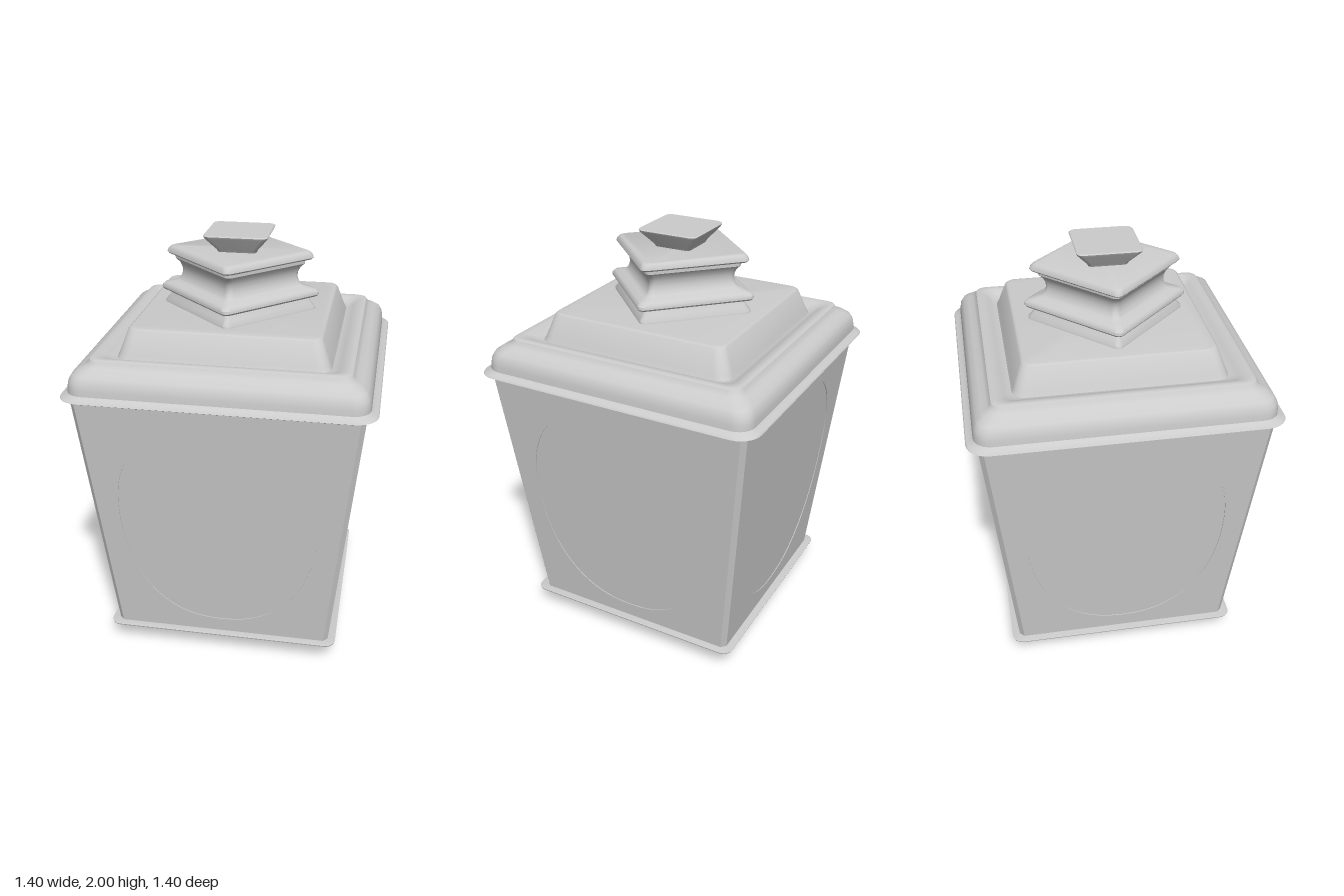
import * as THREE from 'three';
import { toCreasedNormals } from 'three/addons/utils/BufferGeometryUtils.js';

const material = new THREE.MeshStandardMaterial({ color: 0xcccccc, side: THREE.DoubleSide });

// Closed solid through a stack of cross-sections (bottom to top), each a loop of [x, y, z]
function loft(name, sections, crease = 0.6) {
  const pos = [];
  const n = sections[0].length;
  const tri = (a, b, c) => pos.push(...a, ...b, ...c);
  for (let s = 0; s < sections.length - 1; s++) {
    const lo = sections[s], hi = sections[s + 1];
    for (let i = 0; i < n; i++) {
      const j = (i + 1) % n;
      tri(lo[i], hi[i], lo[j]);
      tri(hi[i], hi[j], lo[j]);
    }
  }
  const first = sections[0], last = sections[sections.length - 1];
  for (let i = 1; i < n - 1; i++) {
    tri(first[0], first[i], first[i + 1]);
    tri(last[0], last[i + 1], last[i]);
  }
  const geometry = new THREE.BufferGeometry();
  geometry.setAttribute('position', new THREE.Float32BufferAttribute(pos, 3));
  const mesh = new THREE.Mesh(toCreasedNormals(geometry, crease), material);
  mesh.name = name;
  return mesh;
}

// Horizontal square loop with rounded corners
function roundedSquare(half, y, radius, steps = 6) {
  const loop = [];
  for (let q = 0; q < 4; q++) {
    const mid = Math.PI / 4 + q * Math.PI / 2;
    const cx = Math.sign(Math.cos(mid)) * (half - radius);
    const cz = Math.sign(Math.sin(mid)) * (half - radius);
    for (let k = 0; k <= steps; k++) {
      const a = (q + k / steps) * Math.PI / 2;
      loop.push([cx + radius * Math.cos(a), y, cz + radius * Math.sin(a)]);
    }
  }
  return loop;
}

// Square moulding from a profile of [half width, height, corner radius]
const moulding = (name, profile) => loft(name, profile.map(([h, y, r]) => roundedSquare(h, y, r)));

// Body dimensions
const Y0 = 0.11, Y1 = 1.385, B0 = 0.525, B1 = 0.655, CH = 0.022, INSET = 0.006;
const tilt = Math.atan((B1 - B0) / (Y1 - Y0));
const slant = Math.hypot(Y1 - Y0, B1 - B0);

// Egg-shaped window outline, in the plane of a side panel
function windowPath() {
  const points = [];
  for (let i = 0; i < 64; i++) {
    const a = (i / 64) * Math.PI * 2;
    const c = Math.cos(a), s = Math.sin(a);
    const x = 0.47 * Math.sign(c) * Math.abs(c) ** 0.88;
    const y = 0.83 + (s > 0 ? 0.48 : 0.64) * Math.sign(s) * Math.abs(s) ** 0.92;
    points.push(new THREE.Vector2(x, (y - Y0) * slant / (Y1 - Y0)));
  }
  return points;
}

function sidePanel() {
  const w0 = B0 - CH, w1 = B1 - CH;
  const shape = new THREE.Shape([
    new THREE.Vector2(-w0, 0), new THREE.Vector2(w0, 0),
    new THREE.Vector2(w1, slant), new THREE.Vector2(-w1, slant),
  ]);
  shape.holes.push(new THREE.Path(windowPath()));
  const geometry = new THREE.ExtrudeGeometry(shape, { depth: INSET, bevelEnabled: false });
  geometry.translate(0, 0, -INSET);
  const frame = new THREE.Mesh(geometry, material);
  frame.name = 'panelFrame';
  const glass = new THREE.Mesh(new THREE.ShapeGeometry(new THREE.Shape(windowPath())), material);
  glass.name = 'windowPane';
  glass.position.z = -INSET * 0.6;
  const leaning = new THREE.Group();
  leaning.add(frame, glass);
  leaning.position.set(0, Y0, B0);
  leaning.rotation.x = tilt;
  const panel = new THREE.Group();
  panel.name = 'sidePanel';
  panel.add(leaning);
  return panel;
}

// Chamfered post standing in one corner
function cornerPost() {
  const section = (s, y) => [[s, y, s - CH], [s - CH, y, s], [s - 2 * CH, y, s - 2 * CH]];
  return loft('cornerPost', [section(B0, Y0), section(B1, Y1)], 0.1);
}

export function createModel() {
  const model = new THREE.Group();
  model.name = 'lantern';

  // Flared base tray
  model.add(moulding('base', [
    [0.405, 0, 0.07], [0.425, 0.004, 0.08], [0.44, 0.016, 0.085], [0.45, 0.034, 0.085],
    [0.465, 0.052, 0.08], [0.49, 0.072, 0.07], [0.525, 0.09, 0.06], [0.56, 0.108, 0.05],
    [0.562, 0.114, 0.05], [0.555, 0.116, 0.05],
  ]));

  // Four tapered sides and corner posts
  for (let i = 0; i < 4; i++) {
    const panel = sidePanel(), post = cornerPost();
    panel.rotation.y = post.rotation.y = i * Math.PI / 2;
    model.add(panel, post);
  }

  // Roof with rolled shoulder, shallow gutter and raised plinth
  model.add(moulding('roof', [
    [0.695, 1.374, 0.1], [0.702, 1.378, 0.1], [0.698, 1.384, 0.1], [0.68, 1.39, 0.09],
    [0.669, 1.4, 0.08], [0.667, 1.425, 0.075], [0.662, 1.455, 0.075], [0.648, 1.48, 0.07],
    [0.622, 1.499, 0.065], [0.597, 1.51, 0.06], [0.587, 1.522, 0.055], [0.58, 1.535, 0.05],
    [0.568, 1.54, 0.05], [0.545, 1.538, 0.05], [0.52, 1.525, 0.05], [0.5, 1.513, 0.055],
    [0.484, 1.51, 0.06], [0.475, 1.53, 0.06], [0.437, 1.632, 0.045], [0.43, 1.639, 0.045],
    [0.42, 1.641, 0.04],
  ]));

  // Chimney turned by 45 degrees; profile gives corner reach and height
  const r = 0.028;
  const chimney = moulding('chimney', [
    [0.362, 1.638], [0.36, 1.65], [0.34, 1.672], [0.325, 1.7], [0.368, 1.704],
    [0.376, 1.712], [0.374, 1.724], [0.36, 1.736], [0.315, 1.746], [0.293, 1.755],
    [0.28, 1.772], [0.273, 1.792], [0.275, 1.815], [0.287, 1.838], [0.307, 1.856],
    [0.307, 1.874], [0.338, 1.878], [0.346, 1.885], [0.342, 1.898], [0.33, 1.91],
    [0.32, 1.914],
  ].map(([d, y]) => [(d - r) / Math.SQRT2 + r, y, r]));
  chimney.rotation.y = Math.PI / 4;
  model.add(chimney);

  // Flared finial
  model.add(moulding('finial', [
    [0.088, 1.91, 0.018], [0.095, 1.925, 0.02], [0.145, 1.986, 0.028],
    [0.149, 1.995, 0.03], [0.145, 2, 0.03],
  ]));

  return model;
}
